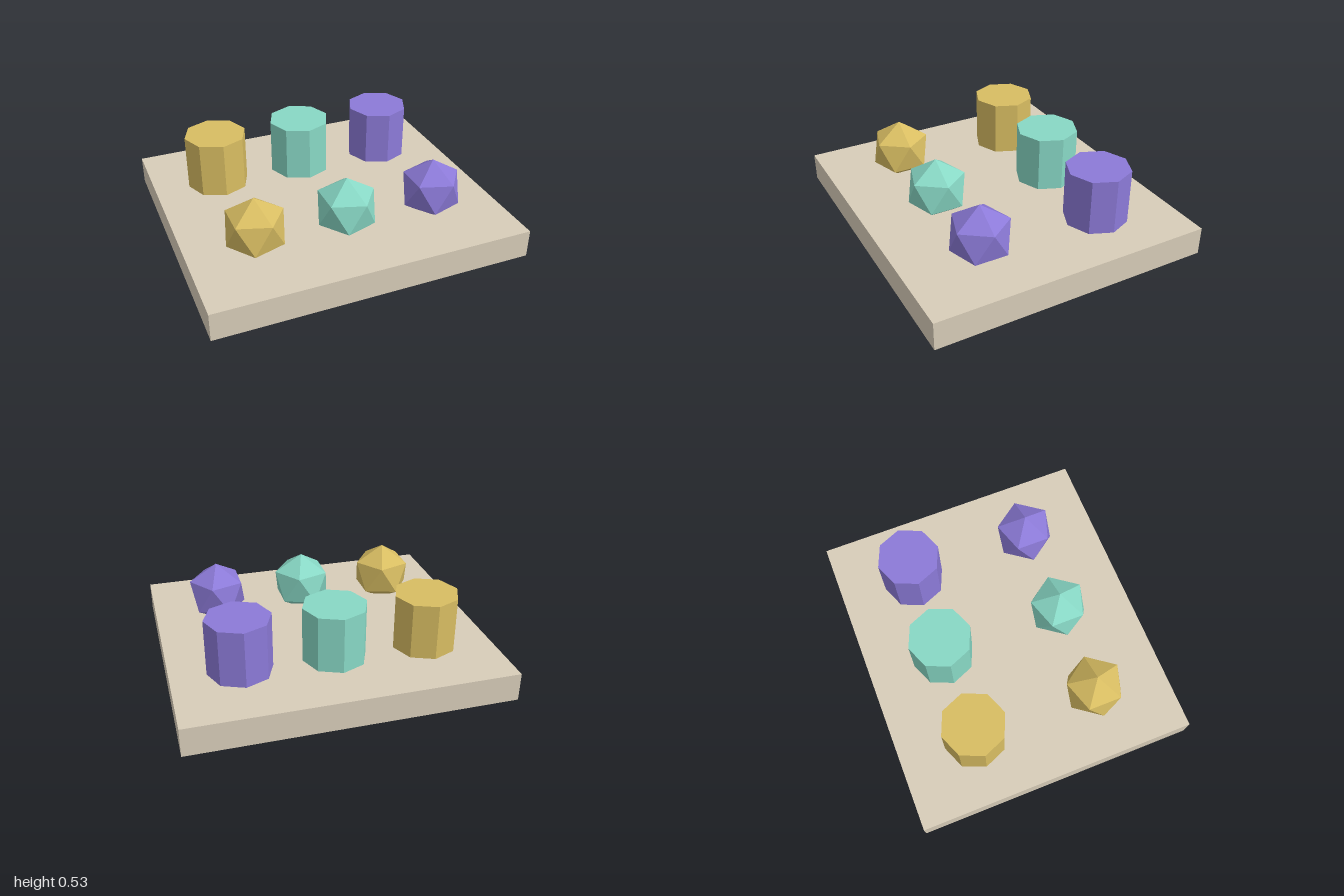
import * as THREE from 'three';

const material = (name, color) => {
  const m = new THREE.MeshStandardMaterial({ color });
  m.name = name;
  return m;
};

const BASE_HEIGHT = 0.18;

// Octagonal prism with sharp facets
function prismGeometry(radius, height) {
  const g = new THREE.CylinderGeometry(radius, radius, height, 8).toNonIndexed();
  g.computeVertexNormals();
  return g;
}

// Icosahedron turned to stand on a point
function gemGeometry(radius) {
  const phi = (1 + Math.sqrt(5)) / 2;
  return new THREE.IcosahedronGeometry(radius, 0).rotateZ(-Math.atan(1 / phi));
}

export function createModel() {
  const model = new THREE.Group();
  model.name = 'shapeBoard';

  const add = (name, geometry, mat, x, y, z) => {
    const mesh = new THREE.Mesh(geometry, mat);
    mesh.name = name;
    mesh.position.set(x, y, z);
    model.add(mesh);
  };

  // Board
  add('board', new THREE.BoxGeometry(2, BASE_HEIGHT, 1.78),
    material('sand', 0xd8cdb9), 0, BASE_HEIGHT / 2, 0);

  // One column of shapes per colour: prism at the back, gem sunk into the board at the front
  const prismHeight = 0.355;
  const prism = prismGeometry(0.2, prismHeight);
  const gem = gemGeometry(0.2);
  const columns = [
    ['gold', 0xd8bd62, -0.58],
    ['teal', 0x88d8c5, 0],
    ['purple', 0x8c7ad8, 0.58],
  ];
  for (const [name, color, x] of columns) {
    const mat = material(name, color);
    add(`${name}Prism`, prism, mat, x, BASE_HEIGHT + prismHeight / 2, -0.4);
    add(`${name}Gem`, gem, mat, x, 0.312, 0.4);
  }
  return model;
}
